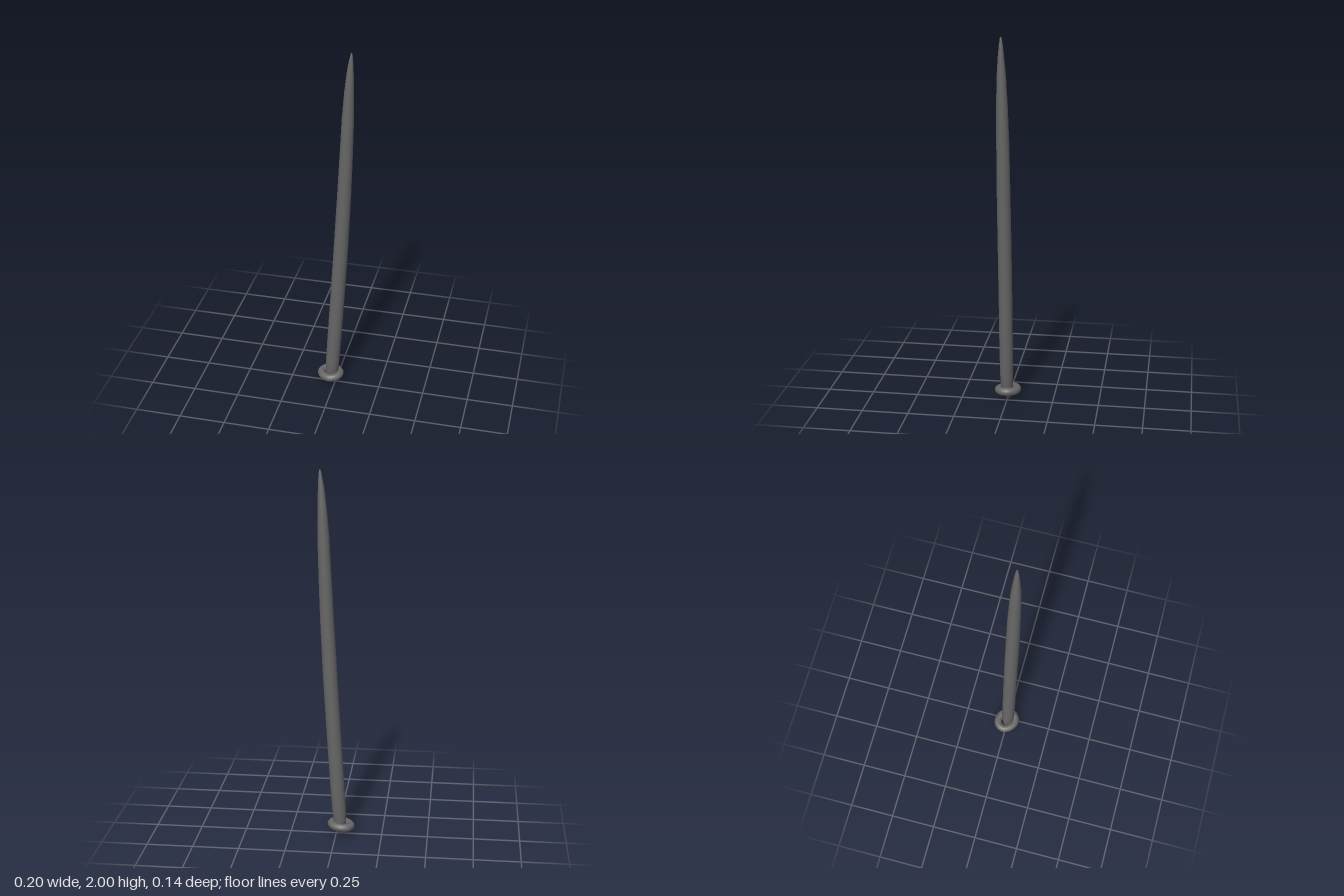
import * as THREE from 'three';
import { mergeVertices } from 'three/addons/utils/BufferGeometryUtils.js';

const material = new THREE.MeshStandardMaterial({ color: 0x666666 });

// Cross-sections from tip to root: y, centre x, centre z, half width x, half width z
const SECTIONS = [
  [2.0, 0.085, 0.019, 0, 0],
  [1.99, 0.085, 0.019, 0.005, 0.005],
  [1.96, 0.083, 0.019, 0.010, 0.010],
  [1.9, 0.079, 0.019, 0.017, 0.016],
  [1.8, 0.074, 0.018, 0.024, 0.024],
  [1.65, 0.068, 0.016, 0.031, 0.030],
  [1.45, 0.060, 0.013, 0.034, 0.034],
  [1.2, 0.049, 0.011, 0.037, 0.036],
  [0.9, 0.033, 0.008, 0.039, 0.037],
  [0.6, 0.015, 0.006, 0.039, 0.037],
  [0.3, -0.004, 0.005, 0.039, 0.037],
  [0.15, -0.014, 0.004, 0.038, 0.036],
  [0.08, -0.018, 0.003, 0.035, 0.033],
  [0.05, -0.022, 0.0, 0.030, 0.027],
  [0.025, -0.026, -0.002, 0.024, 0.021],
  [0.008, -0.029, -0.004, 0.017, 0.014],
  [0.0, -0.031, -0.005, 0, 0],
];

// Tapered, leaning shaft: rows of a tube are moved onto the cross-sections
function shaftGeometry(sides = 20) {
  const g = new THREE.CylinderGeometry(1, 1, 1, sides, SECTIONS.length - 1, true);
  const p = g.attributes.position;
  for (let i = 0; i < p.count; i++) {
    const [y, cx, cz, rx, rz] = SECTIONS[Math.floor(i / (sides + 1))];
    p.setXYZ(i, cx + p.getX(i) * rx, y, cz + p.getZ(i) * rz);
  }
  g.deleteAttribute('uv');
  g.deleteAttribute('normal');
  const merged = mergeVertices(g, 1e-5);
  merged.computeVertexNormals();
  return merged;
}

// Slightly uneven closed loop around the root
function collarGeometry() {
  const points = [
    [-0.080, 0.050, -0.008], [-0.066, 0.051, -0.040], [-0.034, 0.053, -0.051],
    [0.003, 0.055, -0.038], [0.025, 0.058, -0.004], [0.014, 0.056, 0.031],
    [-0.021, 0.052, 0.048], [-0.060, 0.050, 0.030],
  ].map((p) => new THREE.Vector3(...p));
  const path = new THREE.CatmullRomCurve3(points, true);
  return new THREE.TubeGeometry(path, 64, 0.022, 16, true);
}

export function createModel() {
  const group = new THREE.Group();
  const add = (name, geometry) => {
    const mesh = new THREE.Mesh(geometry, material);
    mesh.name = name;
    group.add(mesh);
  };
  add('shaft', shaftGeometry());
  add('collarRing', collarGeometry());
  return group;
}
